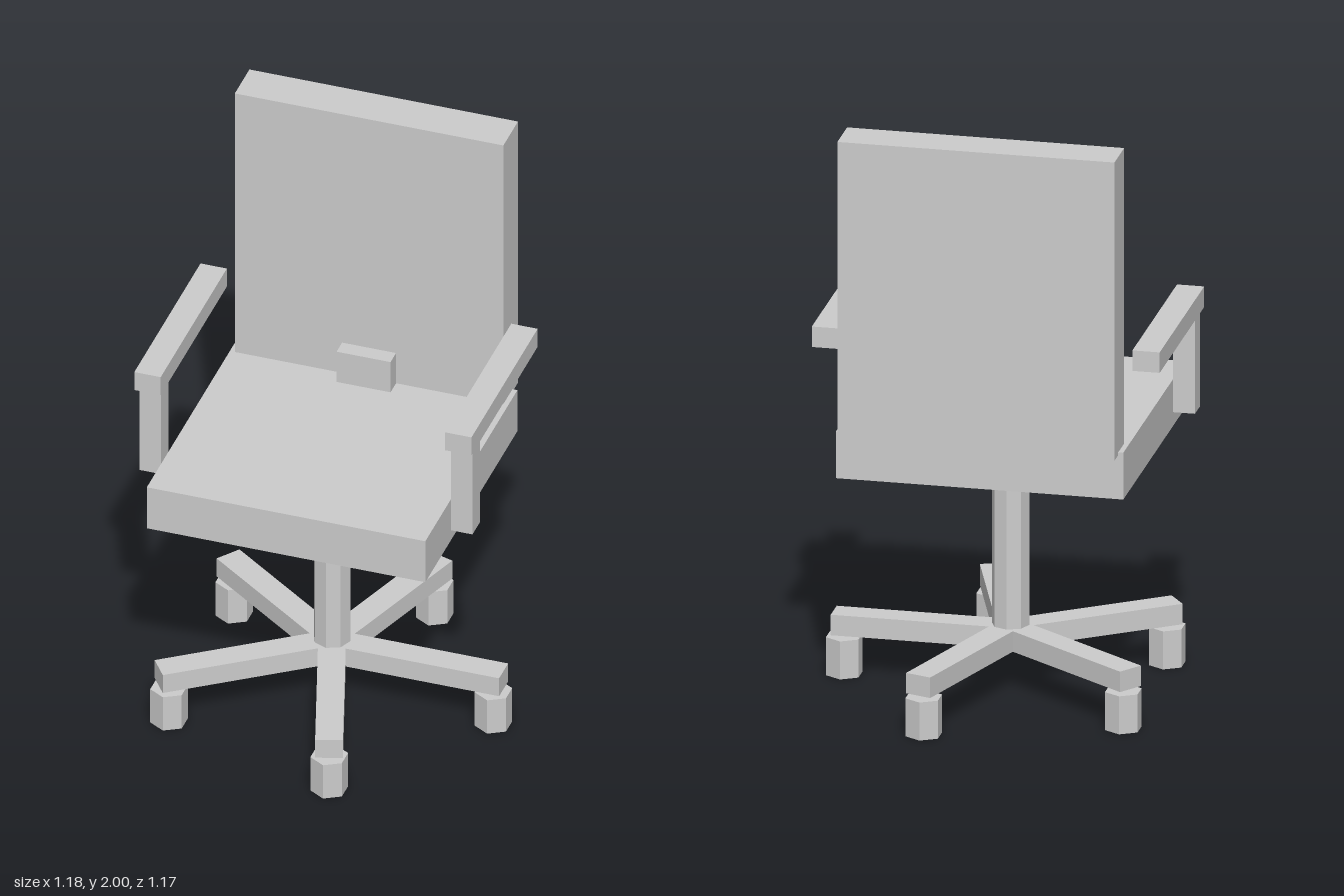
import * as THREE from 'three';

const CX = -0.015; // axis of the chair in x

export function createModel() {
  const group = new THREE.Group();
  const grey = new THREE.MeshStandardMaterial({ color: 0xcccccc });
  grey.name = 'lightGrey';

  function add(name, geometry, x = 0, y = 0, z = 0) {
    const flat = geometry.index ? geometry.toNonIndexed() : geometry;
    flat.computeVertexNormals(); // faceted sides
    const mesh = new THREE.Mesh(flat, grey);
    mesh.name = name;
    mesh.position.set(x, y, z);
    group.add(mesh);
  }

  // Box given by its limits on each axis
  function box(name, [x0, x1], [y0, y1], [z0, z1]) {
    add(name, new THREE.BoxGeometry(x1 - x0, y1 - y0, z1 - z0),
      (x0 + x1) / 2, (y0 + y1) / 2, (z0 + z1) / 2);
  }

  // Seat, backrest and the small bracket between them
  box('seat', [-0.49, 0.46], [0.83, 0.99], [-0.457, 0.457]);
  box('backrest', [-0.473, 0.443], [0.98, 2], [-0.512, -0.367]);
  box('backBracket', [-0.107, 0.077], [0.985, 1.108], [-0.37, -0.312]);

  // Armrests on single front posts
  for (const [side, s] of [['left', 1], ['right', -1]]) {
    const span = (a, b) => [CX + s * a, CX + s * b].sort((p, q) => p - q);
    box(side + 'Armrest', span(0.485, 0.575), [1.24, 1.31], [-0.367, 0.29]);
    box(side + 'ArmPost', span(0.495, 0.568), [0.91, 1.24], [0.185, 0.26]);
  }

  // Octagonal column
  add('column', new THREE.CylinderGeometry(0.062, 0.062, 0.63, 8), CX, 0.525, 0);

  // Five-legged star base
  const legs = 5, length = 0.585, half = 0.045;
  const step = (2 * Math.PI) / legs;
  const inner = half / Math.sin(step / 2);
  const points = [];
  for (let i = 0; i < legs; i++) {
    const a = i * step, c = Math.cos(a), s = Math.sin(a);
    points.push(
      new THREE.Vector2(length * c + half * s, length * s - half * c),
      new THREE.Vector2(length * c - half * s, length * s + half * c),
      new THREE.Vector2(inner * Math.cos(a + step / 2), inner * Math.sin(a + step / 2)));
  }
  const star = new THREE.ExtrudeGeometry(new THREE.Shape(points), { depth: 0.07, bevelEnabled: false });
  star.rotateX(-Math.PI / 2);
  add('starBase', star, CX, 0.143, 0);

  // Hexagonal casters, all facing the same way
  for (let i = 0; i < legs; i++) {
    add('caster' + (i + 1), new THREE.CylinderGeometry(0.062, 0.062, 0.13, 6),
      CX + 0.55 * Math.cos(i * step), 0.065, 0.55 * Math.sin(i * step));
  }

  return group;
}
